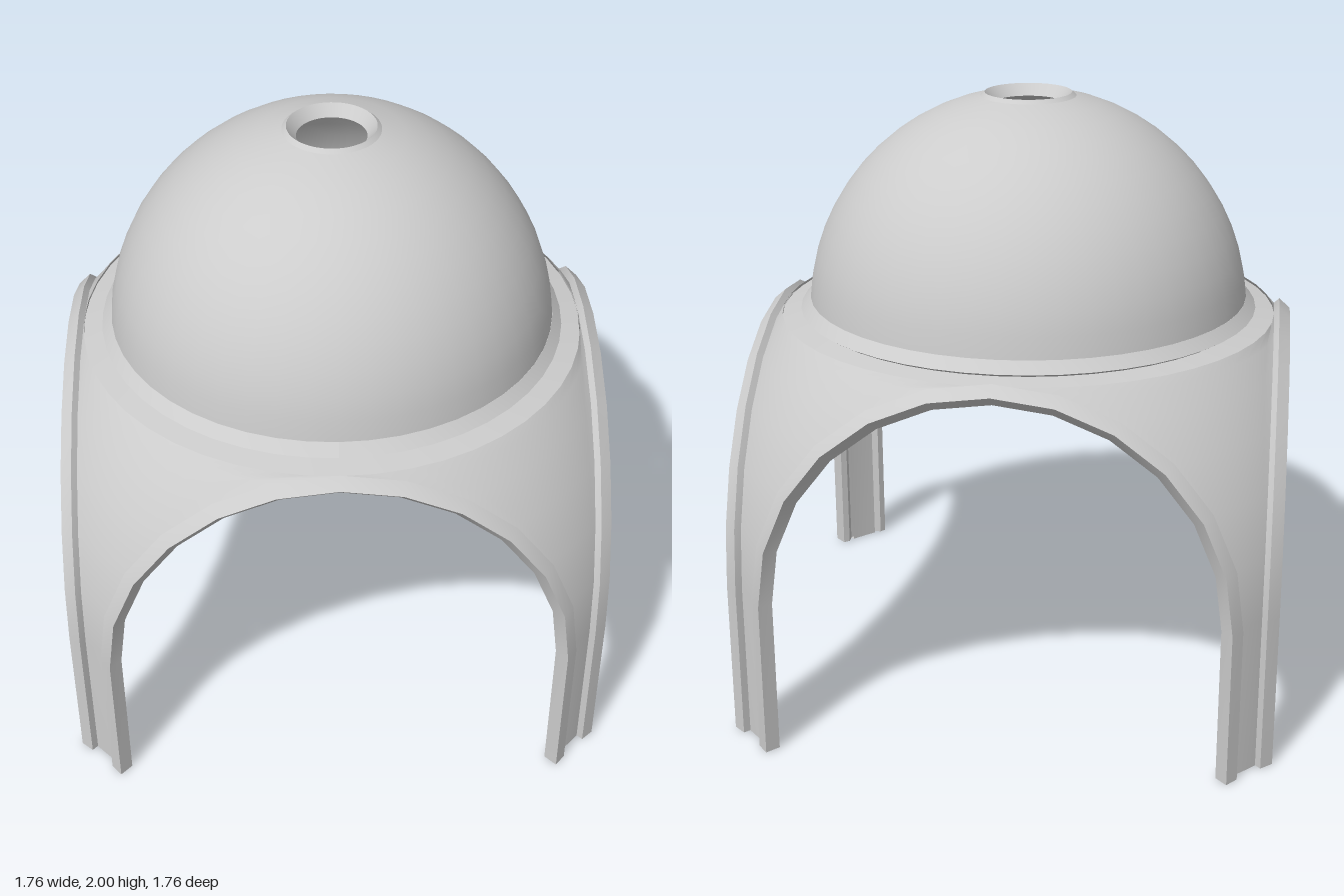
import * as THREE from 'three';

const stone = new THREE.MeshStandardMaterial({ color: 0xcccccc, side: THREE.DoubleSide });
stone.name = 'pale stone';

const SPRING = 0.52;      // height where arches begin to curve
const ARCH_R = 0.755;     // arch radius where the vault meets it
const PLANE = 0.828;      // distance of the arch planes from the centre

// Smooth surface from a rule f(i, j) returning [x, y, z]
function grid(f, nu, nv) {
  const pos = [], idx = [];
  for (let j = 0; j <= nv; j++) for (let i = 0; i <= nu; i++) pos.push(...f(i, j));
  const w = nu + 1;
  for (let j = 0; j < nv; j++) for (let i = 0; i < nu; i++) {
    const a = j * w + i, b = a + 1, d = a + w, c = d + 1;
    idx.push(a, b, c, a, c, d);
  }
  const g = new THREE.BufferGeometry();
  g.setAttribute('position', new THREE.Float32BufferAttribute(pos, 3));
  g.setIndex(idx);
  g.computeVertexNormals();
  return g;
}

function add(parent, geometry, name) {
  const m = new THREE.Mesh(geometry, stone);
  m.name = name;
  parent.add(m);
  return m;
}

// Closed profile swept along a path, with a sharp edge at every profile point
function sweep(parent, profile, place, steps, name) {
  const g = new THREE.Group();
  g.name = name;
  profile.forEach((p, k) => {
    const q = profile[(k + 1) % profile.length];
    add(g, grid((i, j) => place(i ? q : p, j), 1, steps), name + 'Face');
  });
  parent.add(g);
  return g;
}

// Surface of revolution round y from [r, y] points running up the outside
function revolve(points, n = 48) {
  const g = grid((i, j) => {
    const [r, y] = points[i], a = -j / n * Math.PI * 2;
    return [r * Math.sin(a), y, r * Math.cos(a)];
  }, points.length - 1, n);
  // Join the normals across the seam
  const nor = g.attributes.normal, w = points.length;
  for (let i = 0; i < w; i++) {
    const v = new THREE.Vector3().fromBufferAttribute(nor, i)
      .add(new THREE.Vector3().fromBufferAttribute(nor, n * w + i)).normalize();
    nor.setXYZ(i, v.x, v.y, v.z);
    nor.setXYZ(n * w + i, v.x, v.y, v.z);
  }
  return g;
}

// Points on a sphere centred at y = 1.27, between two heights
function spherePoints(R, y0, y1, n) {
  const a0 = Math.asin((y0 - 1.27) / R), a1 = Math.asin((y1 - 1.27) / R);
  return Array.from({ length: n + 1 }, (_, i) => {
    const a = a0 + (a1 - a0) * i / n;
    return [R * Math.cos(a), 1.27 + R * Math.sin(a)];
  });
}

// Arch rib with two straight legs; profile is [radius, z]
function buildArch(parent) {
  const profile = [[0.705, 0.845], [0.74, 0.882], [0.772, 0.845], [0.752, 0.826], [0.72, 0.826]];
  const place = ([r, z], j) => {
    if (j === 0) return [r, 0, z];
    if (j === 14) return [-r, 0, z];
    const t = (j - 1) / 12 * Math.PI;
    return [r * Math.cos(t), SPRING + r * Math.sin(t), z];
  };
  const arch = sweep(parent, profile, place, 14, 'archRib');
  // Soles of the two legs
  for (const s of [1, -1]) {
    const shape = new THREE.Shape(profile.map(([r, z]) => new THREE.Vector2(s * r, z)));
    const sole = new THREE.ShapeGeometry(shape);
    sole.rotateX(Math.PI / 2);
    add(arch, sole, 'legSole');
  }
  return arch;
}

// Corner vault: spherical triangle above a flat leg panel
function buildPendentive(parent) {
  const corner = new THREE.Group();
  corner.name = 'pendentive';
  const n = 12;
  const point = (i, j, inset) => {
    const t = Math.max(0, j - 1) / 6 * Math.PI / 2;
    const side = ARCH_R * Math.cos(t);
    const a0 = Math.atan2(side, PLANE);
    const a = a0 + (Math.PI / 2 - 2 * a0) * i / n;
    const r = Math.hypot(side, PLANE) - inset;
    const y = j === 0 ? 0 : SPRING + ARCH_R * Math.sin(t) - inset * Math.sin(t) * 0.5;
    return [r * Math.sin(a), y, r * Math.cos(a)];
  };
  add(corner, grid((i, j) => point(i, j, 0), n, 7), 'vaultOutside');
  add(corner, grid((i, j) => point(n - i, j, 0.02), n, 7), 'vaultInside');
  add(corner, grid((i, j) => point(i, 0, j ? 0 : 0.02), n, 1), 'panelSole');
  parent.add(corner);
  return corner;
}

export function createModel() {
  const model = new THREE.Group();
  model.name = 'domedPavilion';

  for (let k = 0; k < 4; k++) {
    buildArch(model).rotation.y = k * Math.PI / 2;
    buildPendentive(model).rotation.y = k * Math.PI / 2;
  }

  // Nearly flat collar between the vaults and the ring
  add(model, revolve([[PLANE, SPRING + ARCH_R - 0.008], [0.74, 1.283]]), 'vaultCollar');

  // Moulded ring under the dome
  const ringProfile = [[0.70, 1.285], [0.72, 1.262], [0.742, 1.278], [0.765, 1.292], [0.733, 1.328], [0.70, 1.328]];
  sweep(model, ringProfile, ([r, y], j) => {
    const a = -j / 48 * Math.PI * 2;
    return [r * Math.sin(a), y, r * Math.cos(a)];
  }, 48, 'baseRing');

  // Dome shell, outside and inside, with the open eye at the top
  const outer = spherePoints(0.735, 1.32, 1.988, 12);
  const inner = spherePoints(0.702, 1.3, 1.963, 12);
  add(model, revolve(outer), 'domeOutside');
  add(model, revolve(inner.slice().reverse()), 'domeInside');
  add(model, revolve([outer[12], [0.143, 2.0]]), 'eyeLip');
  add(model, revolve([[0.143, 2.0], inner[12]]), 'eyeBevel');
  return model;
}
